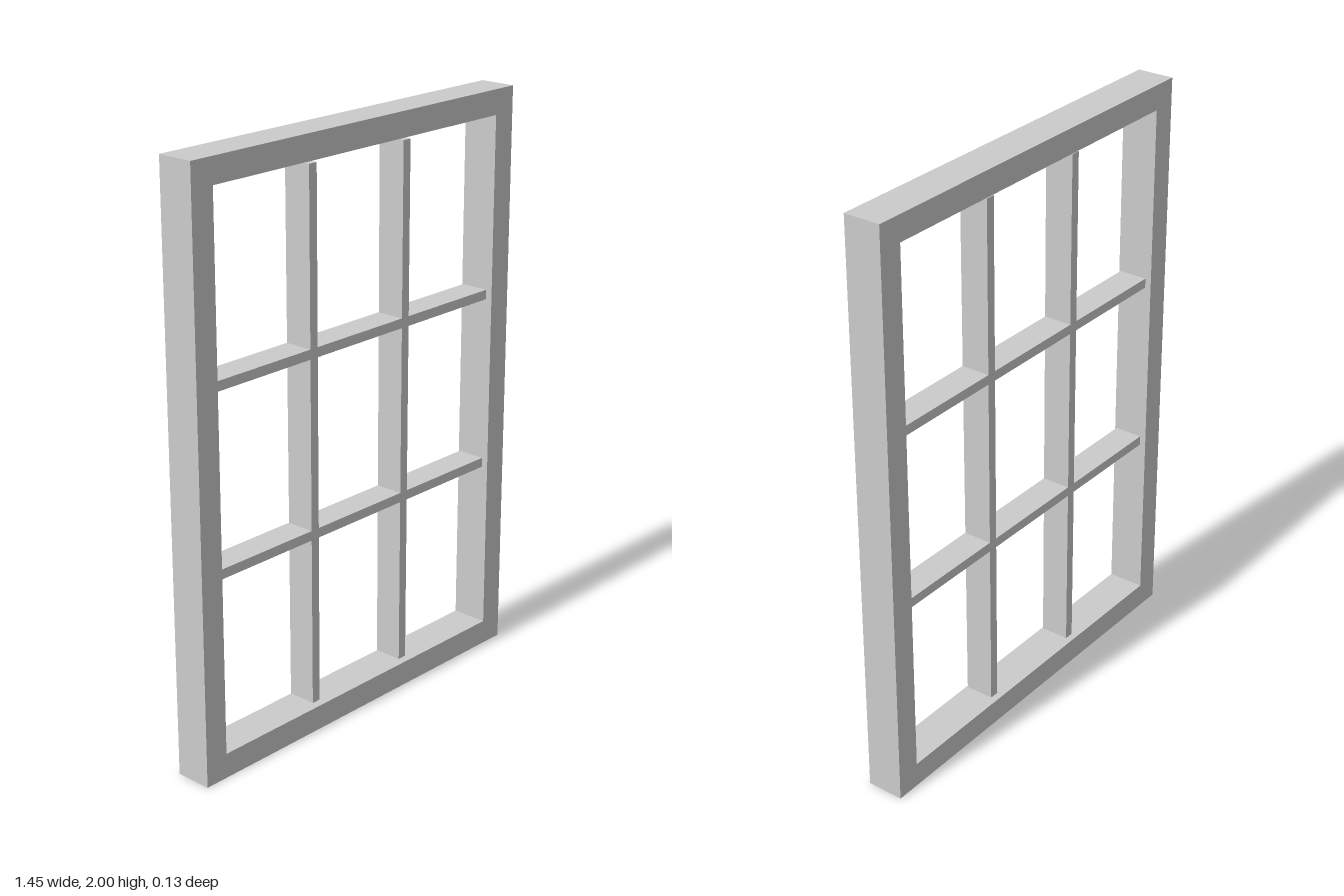
import * as THREE from 'three';

const WIDTH = 1.45, HEIGHT = 2, DEPTH = 0.128, RAIL = 0.085;
const BAR = 0.033, BAR_DEPTH = 0.1, GAP = 0.012;
const BAR_X = 0.214, BAR_Y = 0.304, MID_Y = HEIGHT / 2;

export function createModel() {
  const model = new THREE.Group();
  model.name = 'windowFrame';
  const material = new THREE.MeshStandardMaterial({ color: 0xcccccc, flatShading: true });

  // Rectangle path centred on the origin
  const rectangle = (path, w, h) => {
    path.moveTo(-w / 2, -h / 2).lineTo(w / 2, -h / 2).lineTo(w / 2, h / 2).lineTo(-w / 2, h / 2).closePath();
    return path;
  };

  // Outer frame: one solid with a rectangular opening
  const outline = rectangle(new THREE.Shape(), WIDTH, HEIGHT);
  outline.holes.push(rectangle(new THREE.Path(), WIDTH - 2 * RAIL, HEIGHT - 2 * RAIL));
  const frameGeometry = new THREE.ExtrudeGeometry(outline, { depth: DEPTH, bevelEnabled: false });
  frameGeometry.translate(0, MID_Y, -DEPTH / 2);
  const frame = new THREE.Mesh(frameGeometry, material);
  frame.name = 'outerFrame';
  model.add(frame);

  // Glazing bars, stopping just short of the frame
  const bars = new THREE.Group();
  bars.name = 'glazingBars';
  model.add(bars);
  const addBar = (name, w, h, x, y) => {
    const bar = new THREE.Mesh(new THREE.BoxGeometry(w, h, BAR_DEPTH), material);
    bar.name = name;
    bar.position.set(x, y, 0);
    bars.add(bar);
  };
  const endX = WIDTH / 2 - RAIL - GAP;
  const barHeight = HEIGHT - 2 * (RAIL + GAP);
  const inner = BAR_X - BAR / 2, outer = BAR_X + BAR / 2;

  // Horizontal bars are split so they butt against the vertical ones
  for (const side of [-1, 1]) {
    addBar('verticalBar', BAR, barHeight, side * BAR_X, MID_Y);
    const y = MID_Y + side * BAR_Y;
    for (const [x0, x1] of [[-endX, -outer], [-inner, inner], [outer, endX]]) {
      addBar('horizontalBar', x1 - x0, BAR, (x0 + x1) / 2, y);
    }
  }
  return model;
}
